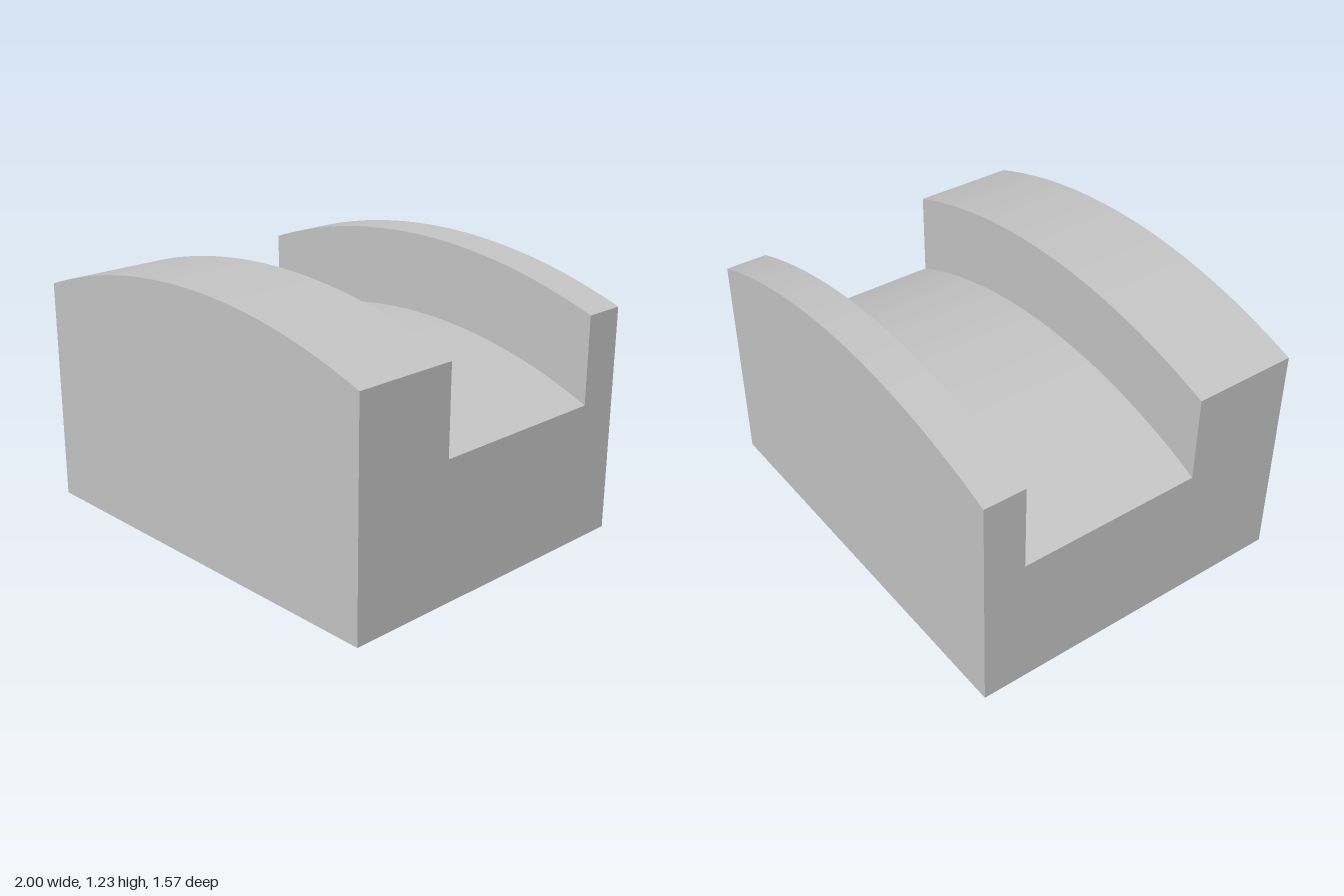
import * as THREE from 'three';

const HALF_Z = 0.785, GROOVE_FRONT = 0.29, GROOVE_BACK = -0.588;
const OUTER_R = 2.877, INNER_R = 2.5, CENTER_Y = 1.227 - OUTER_R;
const HOLE_R = 0.28, HOLE_Z = 0.22, HOLE_DEPTH = 0.5;
const SEGMENTS = 48;

const halfAngle = (r) => Math.asin(1 / r);
const edgeY = (r) => CENTER_Y + Math.sqrt(r * r - 1);

// Curved strip of a crown, running along z
function crown(radius, z0, z1) {
  const a = halfAngle(radius);
  return new THREE.CylinderGeometry(radius, radius, z1 - z0, SEGMENTS, 1, true, Math.PI - a, 2 * a)
    .rotateX(Math.PI / 2).translate(0, CENTER_Y, (z0 + z1) / 2);
}

// Upright face under the outer arc, down to the ground or to the groove arc
function archFace(z, facing, toGroove) {
  const s = new THREE.Shape();
  const a = halfAngle(OUTER_R), b = halfAngle(INNER_R);
  s.absarc(0, CENTER_Y, OUTER_R, Math.PI / 2 - a, Math.PI / 2 + a, false);
  if (toGroove) {
    s.absarc(0, CENTER_Y, INNER_R, Math.PI / 2 + b, Math.PI / 2 - b, true);
  } else {
    s.lineTo(-1, 0);
    s.lineTo(1, 0);
  }
  const g = new THREE.ShapeGeometry(s, SEGMENTS);
  if (facing < 0) g.rotateY(Math.PI);
  return g.translate(0, 0, z);
}

// Notched side face
function sideFace(side) {
  const top = edgeY(OUTER_R), low = edgeY(INNER_R);
  const profile = [
    [-HALF_Z, 0], [HALF_Z, 0], [HALF_Z, top], [GROOVE_FRONT, top],
    [GROOVE_FRONT, low], [GROOVE_BACK, low], [GROOVE_BACK, top], [-HALF_Z, top],
  ];
  const s = new THREE.Shape(profile.map(([z, y]) => new THREE.Vector2(-side * z, y)));
  return new THREE.ShapeGeometry(s).rotateY(side * Math.PI / 2).translate(side, 0, 0);
}

// Base with the round hole opening
function baseFace() {
  const s = new THREE.Shape([[-1, -HALF_Z], [1, -HALF_Z], [1, HALF_Z], [-1, HALF_Z]]
    .map(([x, z]) => new THREE.Vector2(x, z)));
  s.holes.push(new THREE.Path().absarc(0, HOLE_Z, HOLE_R, 0, Math.PI * 2, true));
  return new THREE.ShapeGeometry(s, SEGMENTS).rotateX(Math.PI / 2);
}

export function createModel() {
  const model = new THREE.Group();
  model.name = 'groovedBlock';
  const grey = new THREE.MeshStandardMaterial({ color: 0xc6c6c6 });
  grey.name = 'grey';
  const add = (name, geometry) => {
    const mesh = new THREE.Mesh(geometry, grey);
    mesh.name = name;
    model.add(mesh);
  };

  // Crowned tops and groove floor
  add('frontCrown', crown(OUTER_R, GROOVE_FRONT, HALF_Z));
  add('grooveFloor', crown(INNER_R, GROOVE_BACK, GROOVE_FRONT));
  add('backCrown', crown(OUTER_R, -HALF_Z, GROOVE_BACK));

  // Upright faces
  add('frontFace', archFace(HALF_Z, 1, false));
  add('backFace', archFace(-HALF_Z, -1, false));
  add('grooveFrontWall', archFace(GROOVE_FRONT, -1, true));
  add('grooveBackWall', archFace(GROOVE_BACK, 1, true));
  add('leftSide', sideFace(1));
  add('rightSide', sideFace(-1));

  // Base and blind hole, whose wall faces inward
  add('base', baseFace());
  add('holeWall', new THREE.LatheGeometry(
    [new THREE.Vector2(HOLE_R, HOLE_DEPTH), new THREE.Vector2(HOLE_R, 0)], SEGMENTS)
    .translate(0, 0, HOLE_Z));
  add('holeEnd', new THREE.CircleGeometry(HOLE_R, SEGMENTS)
    .rotateX(Math.PI / 2).translate(0, HOLE_DEPTH, HOLE_Z));

  return model;
}
